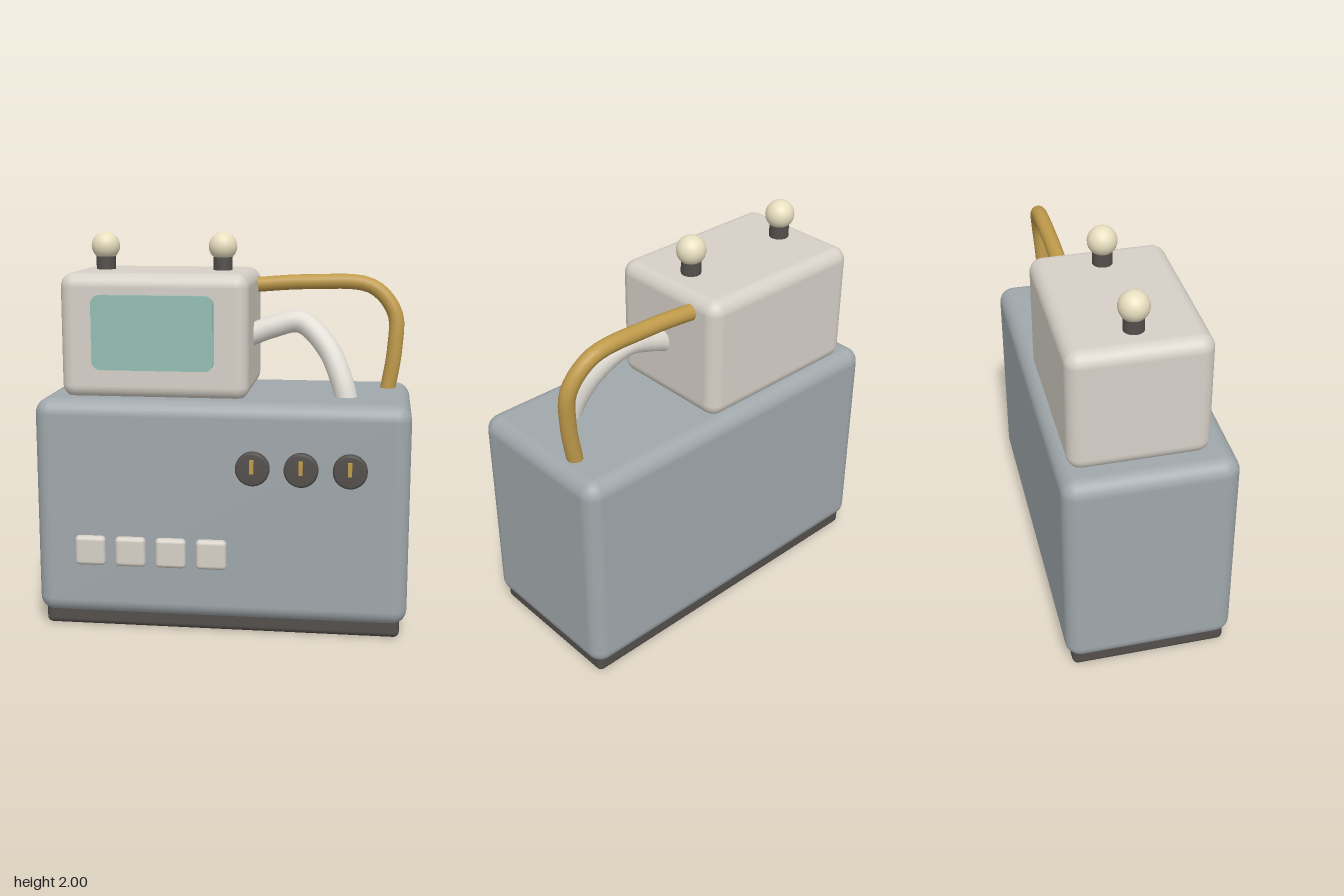
import * as THREE from 'three';
import { RoundedBoxGeometry } from 'three/addons/geometries/RoundedBoxGeometry.js';

const paint = (color) => new THREE.MeshStandardMaterial({ color });

export function createModel() {
  const model = new THREE.Group();
  const grey = paint(0xa0a8ab), cream = paint(0xd6d0c7), dark = paint(0x544f4c);
  const brass = paint(0xbf9a4a), ivory = paint(0xe8dfc0), white = paint(0xe2ded6), teal = paint(0x94bfb6);

  const add = (name, geometry, material, x, y, z, parent = model) => {
    const mesh = new THREE.Mesh(geometry, material);
    mesh.name = name;
    mesh.position.set(x, y, z);
    parent.add(mesh);
    return mesh;
  };
  const rounded = (w, h, d, r) => new RoundedBoxGeometry(w, h, d, 4, r);

  // Plinth, cabinet and the smaller housing on top
  add('plinth', rounded(1.815, 0.12, 0.79, 0.03), dark, 0, 0.06, -0.03);
  add('cabinet', rounded(1.885, 1.12, 0.855, 0.08), grey, 0, 0.625, -0.03);
  add('monitorHousing', rounded(0.955, 0.635, 0.685, 0.07), cream, -0.347, 1.4875, -0.063);

  // Screen: flat panel with rounded corners
  const w = 0.3075, h = 0.1875, r = 0.045;
  const outline = new THREE.Shape();
  outline.absarc(w - r, h - r, r, 0, Math.PI / 2);
  outline.absarc(-w + r, h - r, r, Math.PI / 2, Math.PI);
  outline.absarc(-w + r, -h + r, r, Math.PI, Math.PI * 1.5);
  outline.absarc(w - r, -h + r, r, Math.PI * 1.5, Math.PI * 2);
  const panel = new THREE.ExtrudeGeometry(outline, { depth: 0.045, bevelEnabled: false, curveSegments: 6 });
  add('screen', panel, teal, -0.347, 1.5125, 0.262);

  // Push buttons along the lower front
  for (let i = 0; i < 4; i++) {
    add('button', rounded(0.155, 0.152, 0.06, 0.022), cream, -0.655 + i * 0.206, 0.415, 0.4);
  }

  // Dials with a rounded rim and a brass pointer
  const rim = [[0, -0.02], [0.075, -0.02], [0.085, -0.01], [0.085, 0.03], [0.081, 0.039], [0.073, 0.043], [0, 0.043]];
  const dialShape = new THREE.LatheGeometry(rim.map(([x, y]) => new THREE.Vector2(x, y)), 32).rotateX(Math.PI / 2);
  for (let i = 0; i < 3; i++) {
    const dial = new THREE.Group();
    dial.name = 'dial';
    dial.position.set(0.17 + i * 0.24, 0.865, 0.395);
    add('dialKnob', dialShape, dark, 0, 0, 0, dial);
    add('dialPointer', new THREE.BoxGeometry(0.02, 0.066, 0.03), brass, 0, 0.017, 0.05, dial);
    model.add(dial);
  }

  // Lamps on the housing
  for (const x of [-0.655, -0.038]) {
    add('lampSocket', new THREE.CylinderGeometry(0.05, 0.05, 0.09, 24), dark, x, 1.835, -0.065);
    add('lampBulb', new THREE.SphereGeometry(0.074, 24, 16), ivory, x, 1.926, -0.065);
  }

  // Bent pipes running from the housing down into the cabinet
  const pipe = (name, points, radius, material) => {
    const path = new THREE.CatmullRomCurve3(points.map((p) => new THREE.Vector3(...p)));
    add(name, new THREE.TubeGeometry(path, 32, radius, 14), material, 0, 0, 0);
  };
  pipe('brassPipe', [[0.08, 1.715, -0.24], [0.4, 1.735, -0.24], [0.73, 1.715, -0.24],
    [0.85, 1.58, -0.22], [0.855, 1.4, -0.205], [0.815, 1.13, -0.2]], 0.04, brass);
  pipe('whitePipe', [[0.08, 1.46, -0.035], [0.22, 1.515, -0.038], [0.37, 1.545, -0.035],
    [0.51, 1.425, 0.03], [0.59, 1.26, 0.09], [0.625, 1.13, 0.115]], 0.058, white);

  return model;
}
